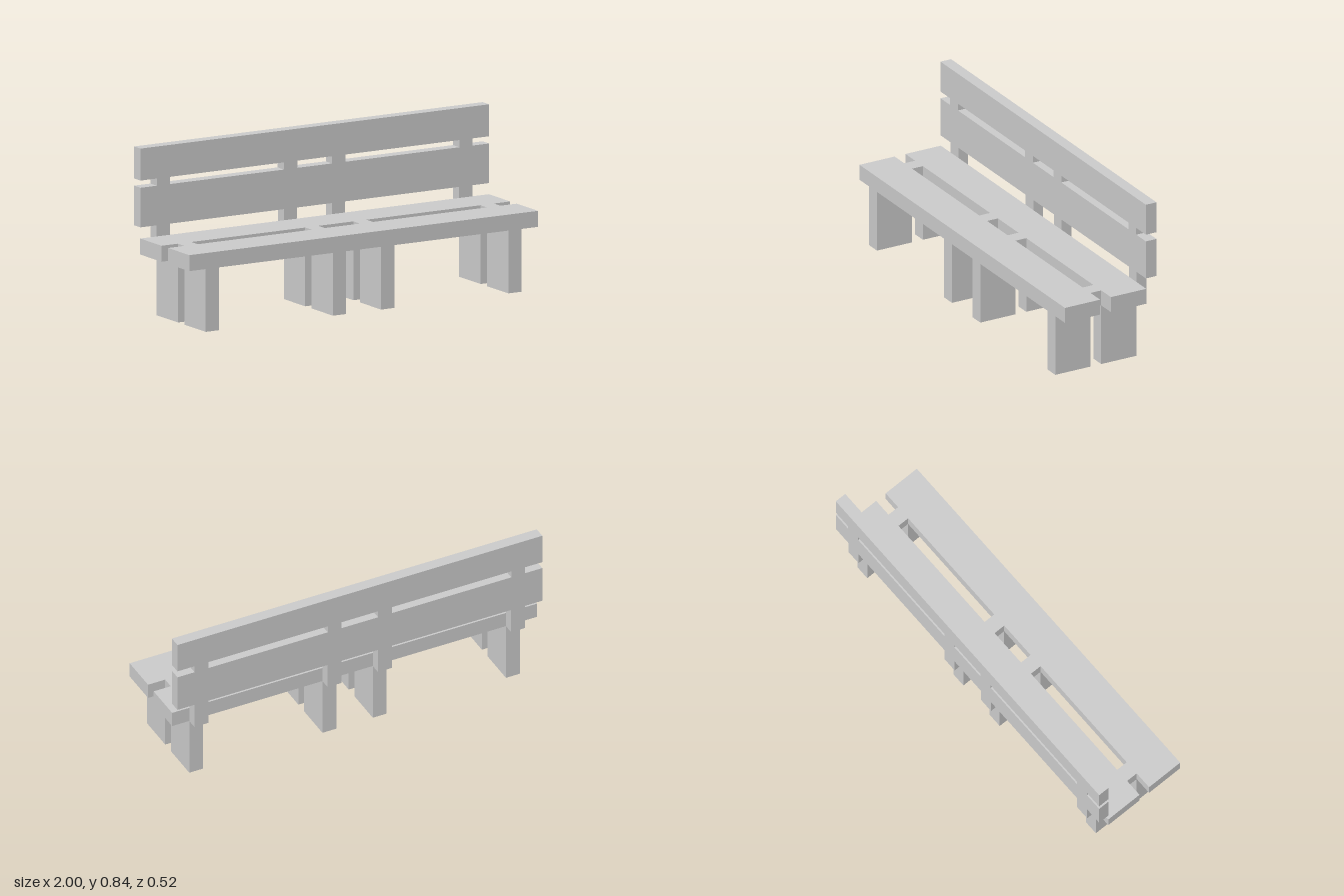
import * as THREE from 'three';

export function createModel() {
  const group = new THREE.Group();
  const material = new THREE.MeshStandardMaterial({ color: 0xcccccc, flatShading: true });

  // Box given by its [min, max] extent on each axis
  function block(name, [x0, x1], [y0, y1], [z0, z1]) {
    const mesh = new THREE.Mesh(new THREE.BoxGeometry(x1 - x0, y1 - y0, z1 - z0), material);
    mesh.position.set((x0 + x1) / 2, (y0 + y1) / 2, (z0 + z1) / 2);
    mesh.name = name;
    group.add(mesh);
  }

  const length = [-1, 1];
  const seatY = [0.314, 0.394];
  const frontZ = [0.061, 0.26];
  const rearZ = [-0.2, 0];
  const backZ = [-0.258, -0.198];
  const postZ = [-0.256, -0.2];

  // Long planks
  block('frontSeatPlank', length, seatY, frontZ);
  block('rearSeatPlank', length, seatY, rearZ);
  block('lowerBackPlank', length, [0.45, 0.648], backZ);
  block('upperBackPlank', length, [0.684, 0.844], backZ);

  // Four frames: a pair of legs, a seat spacer and the back posts
  for (const x of [-0.868, -0.138, 0.138, 0.868]) {
    const width = [x - 0.038, x + 0.038];
    block('frontLeg', width, [0, seatY[0]], frontZ);
    block('rearLeg', width, [0, seatY[0]], rearZ);
    block('seatSpacer', width, seatY, [rearZ[1], frontZ[0]]);
    block('backPost', width, [seatY[0], 0.45], postZ);
    block('backSpacer', width, [0.648, 0.684], backZ);
  }

  return group;
}
